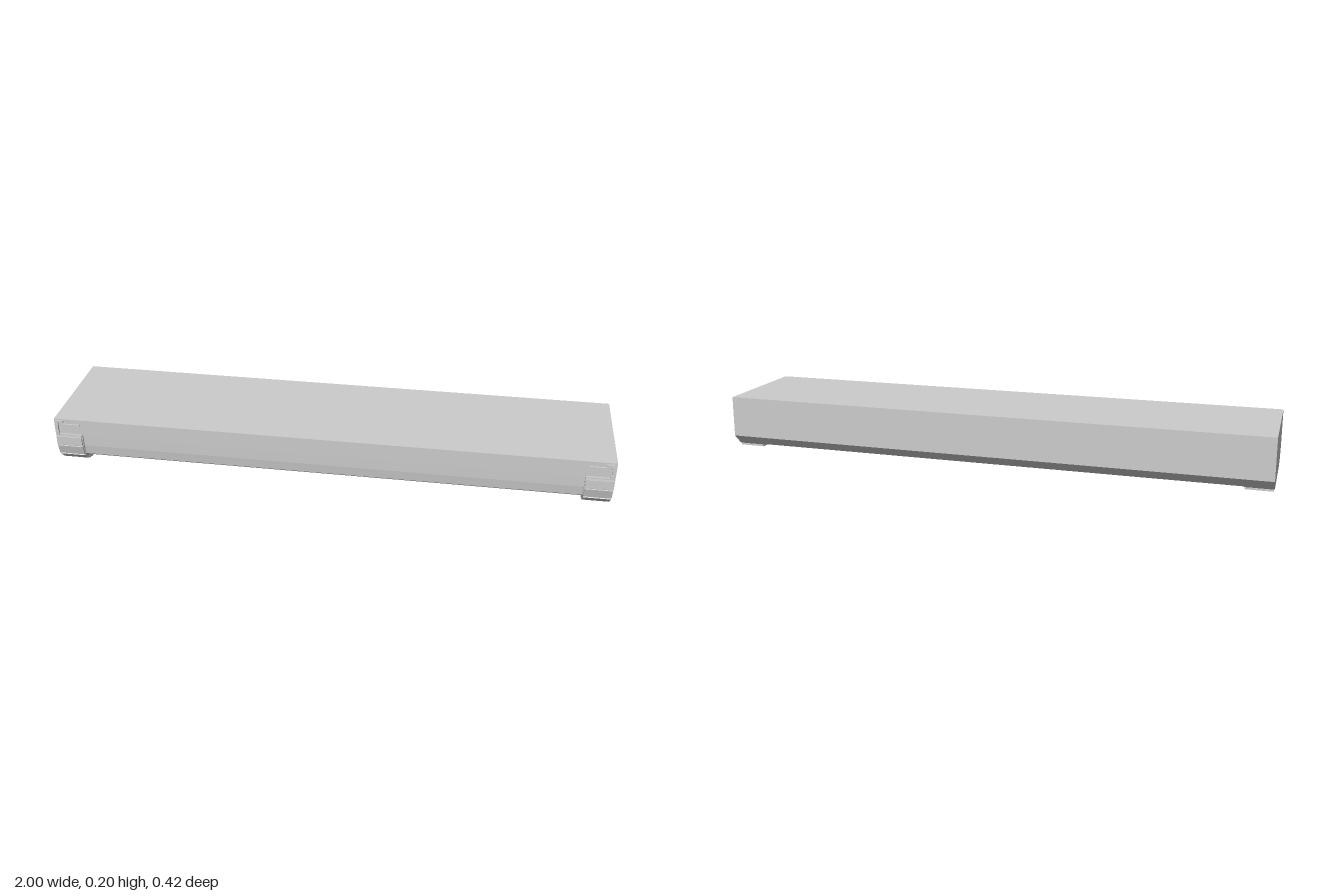
import * as THREE from 'three';

const material = new THREE.MeshStandardMaterial({ color: 0xcccccc, flatShading: true });

// Extrude a (z, y) outline along x between x0 and x1.
function profile(name, points, x0, x1) {
  const shape = new THREE.Shape(points.map(([z, y]) => new THREE.Vector2(z, y)));
  const geometry = new THREE.ExtrudeGeometry(shape, { depth: x1 - x0, bevelEnabled: false });
  geometry.rotateY(-Math.PI / 2);
  geometry.translate(x1, 0, 0);
  const mesh = new THREE.Mesh(geometry, material);
  mesh.name = name;
  return mesh;
}

function box(name, [x0, x1], [y0, y1], [z0, z1]) {
  const mesh = new THREE.Mesh(new THREE.BoxGeometry(x1 - x0, y1 - y0, z1 - z0), material);
  mesh.position.set((x0 + x1) / 2, (y0 + y1) / 2, (z0 + z1) / 2);
  mesh.name = name;
  return mesh;
}

// Flat plate whose inner face runs from a to b, thickened outward.
function plate(name, a, b, thickness, x0, x1) {
  const dz = b[0] - a[0], dy = b[1] - a[1], length = Math.hypot(dz, dy);
  const nz = -dy / length * thickness, ny = dz / length * thickness;
  return profile(name, [a, b, [b[0] + nz, b[1] + ny], [a[0] + nz, a[1] + ny]], x0, x1);
}

export function createModel() {
  const model = new THREE.Group();
  model.name = 'bumper';

  // Long central beam with a recessed face and floor and a lip at the back
  model.add(profile('beam', [
    [0.2, 0.2], [-0.211, 0.2], [-0.211, 0.05], [-0.172, 0.014], [-0.14, 0.014], [-0.135, 0.03],
    [0.15, 0.03], [0.165, 0.036], [0.187, 0.053], [0.192, 0.09], [0.193, 0.132], [0.2, 0.136],
  ], -0.9, 0.9));

  const endOutline = [
    [0.2, 0.2], [-0.211, 0.2], [-0.211, 0.05], [-0.172, 0.012], [0.12, 0.012],
    [0.16, 0.025], [0.189, 0.055], [0.2, 0.095],
  ];
  // Runs of the wrap-around cladding, from top front to back underside
  const path = [[0.202, 0.132], [0.202, 0.095], [0.191, 0.054], [0.161, 0.023], [0.12, 0.011], [-0.115, 0.011], [-0.172, 0.011]];

  for (const side of [-1, 1]) {
    const end = new THREE.Group();
    end.name = side > 0 ? 'leftEnd' : 'rightEnd';
    const span = (a, b) => (side > 0 ? [a, b] : [-b, -a]);
    const [x0, x1] = span(0.9, 1);
    end.add(profile('endBlock', endOutline, x0, x1));

    // Separate cladding plates with narrow gaps between them
    const [p0, p1] = span(0.902, 0.997);
    for (let i = 0; i < path.length - 1; i++) {
      const a = new THREE.Vector2(...path[i]), b = new THREE.Vector2(...path[i + 1]);
      const gap = 0.002 / a.distanceTo(b);
      const from = a.clone().lerp(b, gap), to = a.clone().lerp(b, 1 - gap);
      end.add(plate('claddingBacking', path[i], path[i + 1], 0.003, p0, p1));
      end.add(plate('claddingPlate', from.toArray(), to.toArray(), 0.007, p0, p1));
    }

    // Slim bracket around the upper corner of the front
    end.add(box('bracketUpright', span(0.985, 0.997), [0.137, 0.195], [0.198, 0.208]));
    end.add(box('bracketFoot', span(0.9, 0.985), [0.137, 0.141], [0.198, 0.207]));
    end.add(box('bracketTop', span(0.965, 0.985), [0.189, 0.195], [0.198, 0.207]));
    end.add(box('bracketTab', span(0.905, 0.965), [0.178, 0.182], [0.198, 0.205]));
    for (const y of [0.147, 0.182]) {
      end.add(box('bracketClip', span(0.982, 0.995), [y - 0.007, y + 0.007], [0.206, 0.211]));
    }

    // Small feet below
    for (const z of [0.088, -0.09]) {
      end.add(box('foot', span(0.91, 0.99), [0, 0.005], [z - 0.006, z + 0.006]));
    }
    model.add(end);
  }
  return model;
}
